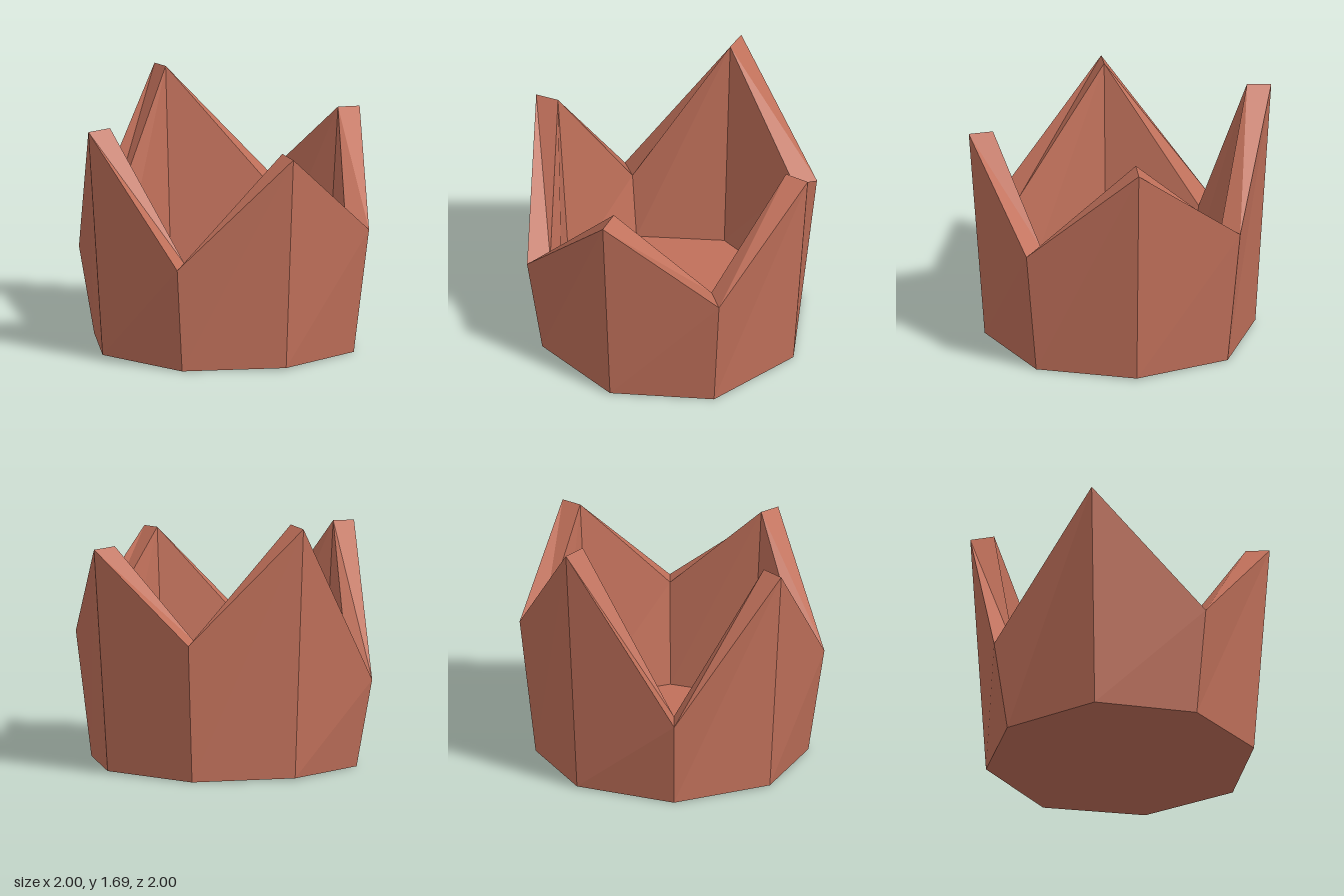
import * as THREE from 'three';

const SIDES = 8;
// rim height of each corner, from the front corner round towards +x
const HEIGHTS = [1.43, 0.83, 1.49, 0.92, 1.68, 0.58, 1.52, 0.7];

// ring of corners with a radius and a height rule
function ring(radius, height) {
  return HEIGHTS.map((h, i) => {
    const a = (i / SIDES) * Math.PI * 2;
    return [Math.sin(a) * radius, height(h, i), Math.cos(a) * radius];
  });
}

function toGeometry(triangles) {
  const geometry = new THREE.BufferGeometry();
  geometry.setAttribute('position', new THREE.Float32BufferAttribute(triangles.flat(2), 3));
  geometry.computeVertexNormals();
  return geometry;
}

// band of quads joining two rings
function band(a, b) {
  const triangles = [];
  for (let i = 0; i < SIDES; i++) {
    const j = (i + 1) % SIDES;
    triangles.push([a[i], a[j], b[j]], [a[i], b[j], b[i]]);
  }
  return toGeometry(triangles);
}

// fan closing a ring, facing up or down
function cap(r, y, up) {
  return toGeometry(r.map((p, i) => {
    const q = r[(i + 1) % SIDES];
    return up ? [p, q, [0, y, 0]] : [q, p, [0, y, 0]];
  }));
}

export function createModel() {
  const group = new THREE.Group();
  group.name = 'crown';
  const clay = new THREE.MeshStandardMaterial({ color: 0xc0705a, flatShading: true });
  clay.name = 'terracotta';

  const foot = ring(0.895, (h, i) => (i % 2 ? 0 : 0.01));
  const outerRim = ring(1, (h) => h);
  const innerRim = ring(0.84, (h) => h + 0.01);
  const floorEdge = ring(0.755, () => 0.15);

  const parts = {
    outerWall: band(foot, outerRim),
    pointedRim: band(outerRim, innerRim),
    innerWall: band(innerRim, floorEdge),
    floor: cap(floorEdge, 0.15, true),
    base: cap(foot, 0.005, false),
  };
  for (const [name, geometry] of Object.entries(parts)) {
    const mesh = new THREE.Mesh(geometry, clay);
    mesh.name = name;
    group.add(mesh);
  }
  return group;
}
